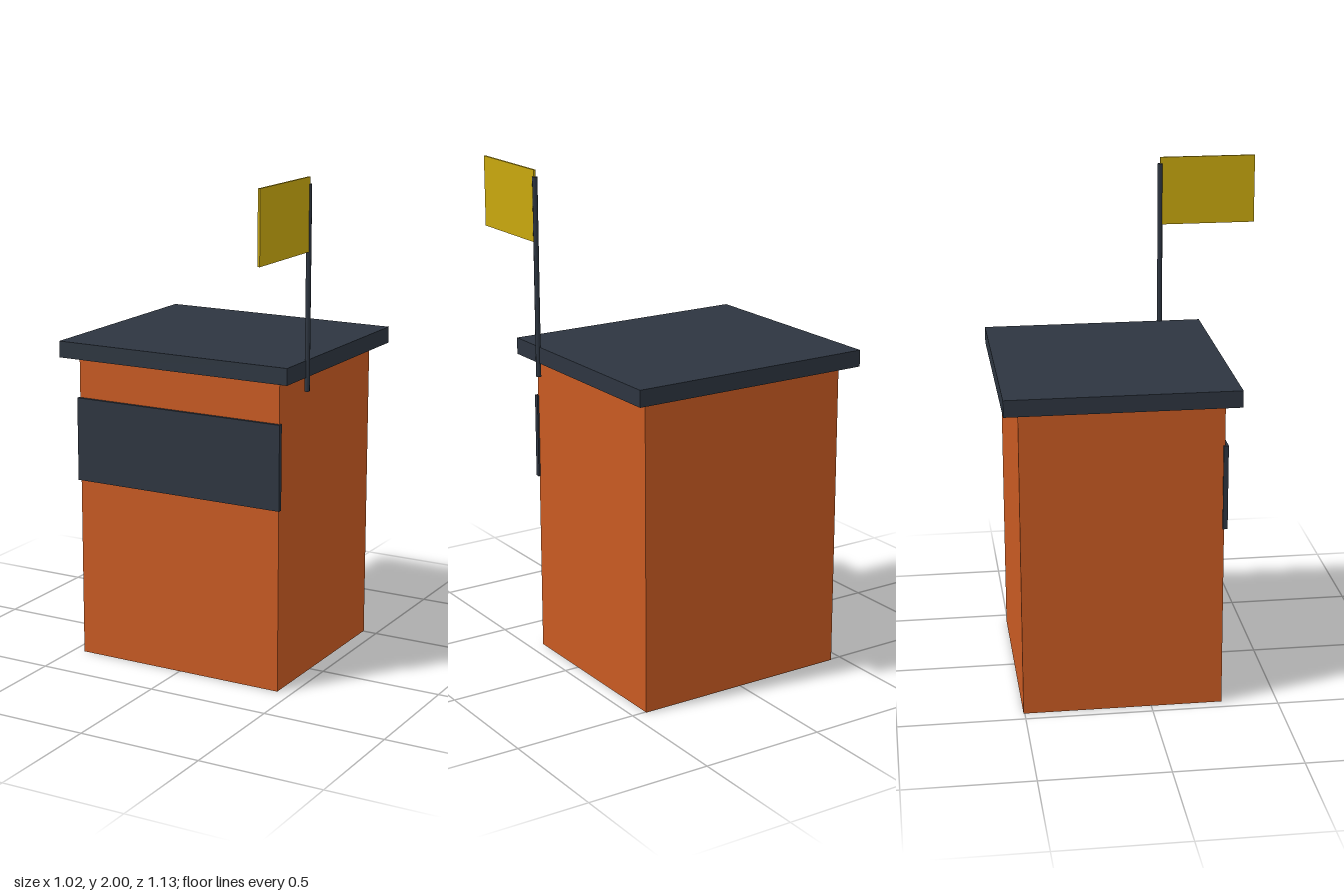
import * as THREE from 'three';

const mat = (name, color) => {
  const m = new THREE.MeshStandardMaterial({ color });
  m.name = name;
  return m;
};

export function createModel() {
  const orange = mat('orange', 0xc85a22);
  const slate = mat('slate', 0x2d3540);
  const yellow = mat('yellow', 0xc8a80e);
  const model = new THREE.Group();
  model.name = 'flagBooth';

  const add = (name, geometry, material) => {
    const mesh = new THREE.Mesh(geometry, material);
    mesh.name = name;
    model.add(mesh);
    return mesh;
  };

  // Box given by its extents on each axis
  const box = (name, [x0, x1], [y0, y1], [z0, z1], material) =>
    add(name, new THREE.BoxGeometry(x1 - x0, y1 - y0, z1 - z0), material)
      .position.set((x0 + x1) / 2, (y0 + y1) / 2, (z0 + z1) / 2);

  // Booth
  box('body', [-0.454, 0.441], [0, 1.241], [-0.505, 0.281], orange);
  box('roof', [-0.512, 0.5], [1.241, 1.307], [-0.563, 0.337], slate);
  box('frontPanel', [-0.46, 0.448], [0.735, 1.074], [0.275, 0.294], slate);

  // Flag on a pole fixed to the roof's left edge
  add('flagPole', new THREE.CylinderGeometry(0.0105, 0.0105, 0.787, 8), slate)
    .position.set(0.5, 1.58, 0.17);
  box('flag', [0.4955, 0.5045], [1.72, 2], [0.17, 0.564], yellow);

  return model;
}
